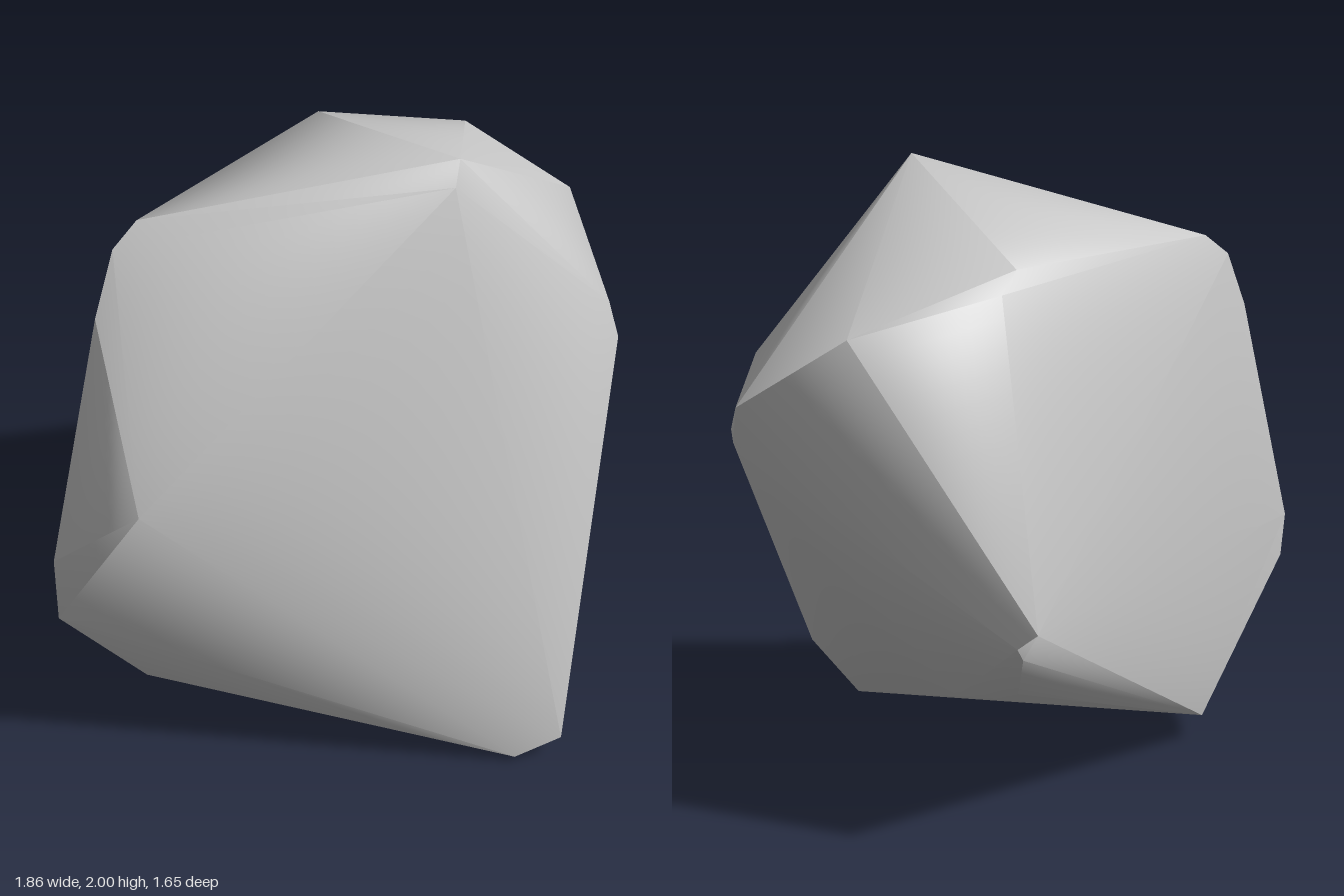
import * as THREE from 'three';
import { ConvexGeometry } from 'three/addons/geometries/ConvexGeometry.js';

// Corners of the boulder, most of them chipped into two or three points
const corners = [
  [[0.34, 2, 0.4], [0.31, 1.95, 0.48]], // peak
  [[0.63, 0.08, 0.82], [0.54, 0, 0.73], [0.48, 0.02, 0.82], [0.7, 0.23, 0.65]], // foot
  [[0.91, 1.38, -0.42], [0.92, 1.27, -0.42], [0.93, 1.27, -0.27]], // side, back
  [[0.89, 1.25, 0.3], [0.86, 1.37, 0.28]], // side, front
  [[0.57, 1.61, -0.52]], // shoulder
  [[0.05, 1.78, -0.36], [0.1, 1.72, -0.44]], // back ridge
  [[-0.6, 1.76, 0.18], [-0.68, 1.69, 0.22], [-0.75, 1.5, 0.3]], // far shoulder
  [[-0.69, 1.08, 0.76]], // front bulge
  [[-0.93, 0.55, 0.52], [-0.93, 0.72, 0.45]], // far side
  [[-0.62, 0.09, 0.19], [-0.64, 0.1, 0.3]], // underside
  [[0.02, 0.77, -0.83], [0.08, 0.72, -0.81], [0.06, 0.67, -0.77]], // back point
  [[0.06, 0.48, -0.56], [0.25, 0.48, -0.56]], // back, below the point
];

const STEPS = 14; // divisions along each facet edge
const SOFTNESS = 0.14; // reach of the rounded shading from an edge
const CREASE = 0.5; // facets meeting at over 60 degrees keep a hard edge

// The flat facets of the hull, each with its plane and area
function findFacets(points) {
  const pos = new ConvexGeometry(points).getAttribute('position');
  const facets = [];
  for (let i = 0; i < pos.count; i += 3) {
    const [a, b, c] = [0, 1, 2].map((k) => new THREE.Vector3().fromBufferAttribute(pos, i + k));
    const tri = new THREE.Triangle(a, b, c);
    facets.push({ tri, plane: tri.getPlane(new THREE.Plane()), area: tri.getArea() });
  }
  return facets;
}

// Normal at a point: nearby facet planes blend in as the point nears them
function softNormal(p, own, facets) {
  const normal = new THREE.Vector3();
  for (const { plane, area } of facets) {
    if (plane.normal.dot(own.plane.normal) < CREASE) continue;
    const gap = Math.abs(plane.distanceToPoint(p));
    normal.addScaledVector(plane.normal, area * Math.exp(-gap / SOFTNESS));
  }
  return normal.normalize();
}

// Divide each facet into a fine triangular grid carrying the soft normals
function buildStone(points) {
  const facets = findFacets(points);
  const positions = [];
  const normals = [];
  const index = [];
  for (const facet of facets) {
    const { a, b, c } = facet.tri;
    const start = positions.length / 3;
    const at = (i, j) => start + (i * (i + 1)) / 2 + j;
    for (let i = 0; i <= STEPS; i++) {
      for (let j = 0; j <= i; j++) {
        const p = new THREE.Vector3()
          .addScaledVector(a, 1 - i / STEPS)
          .addScaledVector(b, (i - j) / STEPS)
          .addScaledVector(c, j / STEPS);
        positions.push(...p.toArray());
        normals.push(...softNormal(p, facet, facets).toArray());
        if (i < STEPS) index.push(at(i, j), at(i + 1, j), at(i + 1, j + 1));
        if (j < i && i < STEPS) index.push(at(i, j), at(i + 1, j + 1), at(i, j + 1));
      }
    }
  }
  const geometry = new THREE.BufferGeometry();
  geometry.setAttribute('position', new THREE.Float32BufferAttribute(positions, 3));
  geometry.setAttribute('normal', new THREE.Float32BufferAttribute(normals, 3));
  geometry.setIndex(index);
  return geometry;
}

export function createModel() {
  const group = new THREE.Group();
  group.name = 'rock';
  const stone = new THREE.MeshStandardMaterial({ color: 0xc8c8c8 });
  stone.name = 'grey stone';

  const points = corners.flat().map((p) => new THREE.Vector3(...p));
  const boulder = new THREE.Mesh(buildStone(points), stone);
  boulder.name = 'boulder';
  group.add(boulder);
  return group;
}
